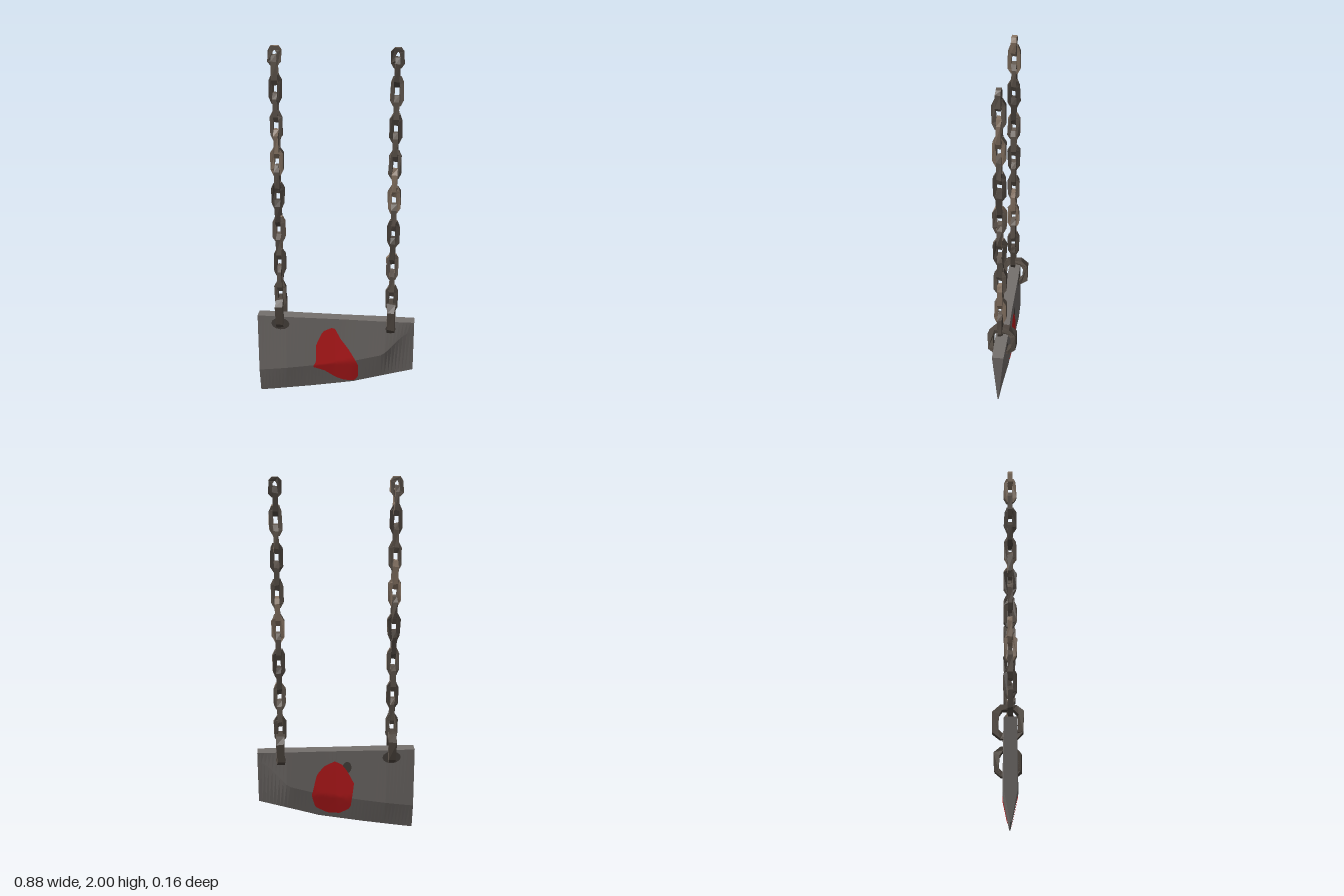
import * as THREE from 'three';

const mat = (name, color, extra = {}) => new THREE.MeshStandardMaterial({ name, color, ...extra });
const { lerp, clamp, smoothstep } = THREE.MathUtils;
const MID_Z = 0.01, TOP = 0.5;

// Piecewise linear lookup through [x, value] pairs
function sample(keys, x) {
  for (let i = 1; i < keys.length; i++) {
    const [x0, a] = keys[i - 1], [x1, b] = keys[i];
    if (x <= x1) return lerp(a, b, clamp((x - x0) / (x1 - x0), 0, 1));
  }
  return keys[keys.length - 1][1];
}

// Blade rules: lower edge, shoulder height and half thickness along x
const edgeY = (x) => sample([[-0.44, 0], [-0.37, 0.01], [-0.15, 0.045], [0.1, 0.09], [0.2, 0.12], [0.44, 0.19]], x);
const shoulderY = (x) => lerp(edgeY(x) + 0.15, 0.44, smoothstep(x, 0.25, 0.44));
const shoulderHalf = (x) => sample([[-0.44, 0.032], [-0.28, 0.038], [0, 0.033], [0.28, 0.037], [0.44, 0.025]], x);
const topHalf = (x) => sample([[-0.44, 0.031], [-0.28, 0.034], [0.05, 0.031], [0.28, 0.034], [0.44, 0.031]], x);
const halfAt = (x, y) => sample([[edgeY(x), 0.003], [shoulderY(x), shoulderHalf(x)], [TOP, topHalf(x)]], y);

function indexed(pos, idx) {
  const g = new THREE.BufferGeometry();
  g.setAttribute('position', new THREE.Float32BufferAttribute(pos, 3));
  g.setIndex(idx);
  g.computeVertexNormals();
  return g;
}

// Loft six-sided cross-sections from end to end
function bladeGeometry() {
  const pos = [], idx = [], steps = 44, n = 6;
  for (let i = 0; i <= steps; i++) {
    const x = lerp(-0.44, 0.44, i / steps);
    const ys = [edgeY(x), shoulderY(x), TOP];
    for (const y of ys) pos.push(x, y, MID_Z + halfAt(x, y));
    for (const y of ys.reverse()) pos.push(x, y, MID_Z - halfAt(x, y));
  }
  for (let i = 0; i < steps; i++) {
    for (let j = 0; j < n; j++) {
      const a = i * n + j, d = i * n + (j + 1) % n;
      idx.push(a, a + n, d + n, a, d + n, d);
    }
  }
  const last = steps * n;
  for (let k = 1; k < n - 1; k++) {
    idx.push(0, k, k + 1, last, last + k + 1, last + k);
  }
  return indexed(pos, idx);
}

// Thin patch that follows the blade surface; side is +1 front, -1 back
function patchGeometry(outline, side, lift) {
  const pos = [], idx = [], rings = 10, n = 48;
  const pts = outline.map(([x, y]) => new THREE.Vector2(x, y));
  const centre = pts.reduce((s, p) => s.add(p), new THREE.Vector2()).divideScalar(pts.length);
  for (let r = 0; r <= rings; r++) {
    for (let k = 0; k < n; k++) {
      const t = (k / n) * pts.length, i = Math.floor(t);
      const p = pts[i].clone().lerp(pts[(i + 1) % pts.length], t - i);
      p.lerpVectors(centre, p, r / rings);
      pos.push(p.x, p.y, MID_Z + side * (halfAt(p.x, p.y) + lift));
      if (r < rings) {
        const a = r * n + k, b = r * n + (k + 1) % n;
        idx.push(a, a + n, b + n, a, b + n, b);
      }
    }
  }
  return indexed(pos, idx);
}

const ellipse = (x, y, rx, ry) => Array.from({ length: 12 }, (_, i) => {
  const a = (i / 12) * Math.PI * 2;
  return [x + Math.cos(a) * rx, y + Math.sin(a) * ry];
});

// Chamfered rectangular loop with slightly hammered corners
function linkGeometry(w, h, bar, depth, seed) {
  const loop = (W, H, cx, cy) => [
    [W, H - cy], [W - cx, H], [cx - W, H], [-W, H - cy],
    [-W, cy - H], [cx - W, -H], [W - cx, -H], [W, cy - H],
  ].map(([x, y]) => new THREE.Vector2(x, y));
  const shape = new THREE.Shape(loop(w / 2, h / 2, w * 0.24, h * 0.2));
  shape.holes.push(new THREE.Path(loop(w / 2 - bar, h / 2 - bar, w * 0.12, h * 0.14)));
  const g = new THREE.ExtrudeGeometry(shape, { depth, bevelEnabled: false });
  g.translate(0, 0, -depth / 2);
  const p = g.attributes.position;
  const noise = (v, k) => {
    const s = Math.sin(v.x * 917 + v.y * 531 + v.z * 733 + seed * 12.9 + k * 4.7) * 437.5;
    return (s - Math.floor(s) - 0.5) * bar * 0.3;
  };
  const v = new THREE.Vector3();
  for (let i = 0; i < p.count; i++) {
    v.fromBufferAttribute(p, i);
    p.setXYZ(i, v.x + noise(v, 1), v.y + noise(v, 2), v.z + noise(v, 3));
  }
  g.computeVertexNormals();
  return g;
}

export function createModel() {
  const steel = mat('blade steel', 0x75706d, { flatShading: true });
  const iron = mat('chain iron', 0x655b52, { flatShading: true });
  const worn = mat('worn tan iron', 0x8a7766, { flatShading: true });
  const dark = mat('dark iron', 0x4f4740, { flatShading: true });
  const grime = mat('hole grime', 0x4a443f, { side: THREE.DoubleSide });
  const red = mat('red stain', 0xc41c1e, { side: THREE.DoubleSide });

  const model = new THREE.Group();
  model.name = 'hangingBlade';
  const add = (name, geometry, material, parent = model) => {
    const m = new THREE.Mesh(geometry, material);
    m.name = name;
    parent.add(m);
    return m;
  };

  add('blade', bladeGeometry(), steel);

  // Stains on both faces
  add('frontStain', patchGeometry([
    [-0.02, 0.445], [0, 0.44], [0.03, 0.38], [0.08, 0.31], [0.13, 0.22], [0.13, 0.13], [0.11, 0.1],
    [0.05, 0.1], [0, 0.12], [-0.06, 0.165], [-0.13, 0.19], [-0.11, 0.22], [-0.11, 0.33], [-0.07, 0.42],
  ], 1, 0.003), red);
  add('backStain', patchGeometry([
    [0.01, 0.44], [0.07, 0.41], [0.11, 0.36], [0.14, 0.23], [0.12, 0.15], [0.05, 0.11],
    [-0.02, 0.105], [-0.08, 0.14], [-0.1, 0.3], [-0.06, 0.38], [-0.03, 0.42],
  ], -1, 0.003), red);
  add('backStainShadow', patchGeometry(ellipse(-0.06, 0.4, 0.025, 0.035), -1, 0.002), grime);

  const finishes = [[iron, dark], [dark, iron], [iron, worn], [dark, iron], [worn, iron]];
  for (const side of [1, -1]) {
    const x = side * 0.31;
    const chain = new THREE.Group();
    chain.name = side > 0 ? 'leftChain' : 'rightChain';
    model.add(chain);

    // Grimy hole around the ring, on both faces
    const r = side > 0 ? 0.028 : 0.052;
    for (const face of [1, -1]) {
      add('holeGrime', patchGeometry(ellipse(x, 0.457, r, Math.min(r, 0.036)), face, 0.002), grime, chain);
    }

    // Large ring through the blade
    const ring = add('bladeRing', linkGeometry(0.15, 0.175, 0.028, 0.042, side * 3), [iron, dark], chain);
    ring.position.set(x, 0.517, 0);
    ring.rotation.y = Math.PI / 2;

    // Alternating links; the last is cut short at the top
    for (let k = 0; k <= 14; k++) {
      const top = k === 14;
      const h = top ? 0.1 : 0.152;
      const g = linkGeometry(0.066, h, 0.021, 0.026, k * 2 + side);
      if (k % 2) g.rotateY(Math.PI / 2);
      g.translate(x, top ? 1.95 : 0.63 + k * 0.096, MID_Z);
      if (top) {
        const p = g.attributes.position;
        for (let i = 0; i < p.count; i++) if (p.getY(i) > 1.985) p.setY(i, 2);
        g.computeVertexNormals();
      }
      add('chainLink', g, finishes[(k * 3 + (side > 0 ? 1 : 0)) % 5], chain);
    }
  }
  return model;
}
